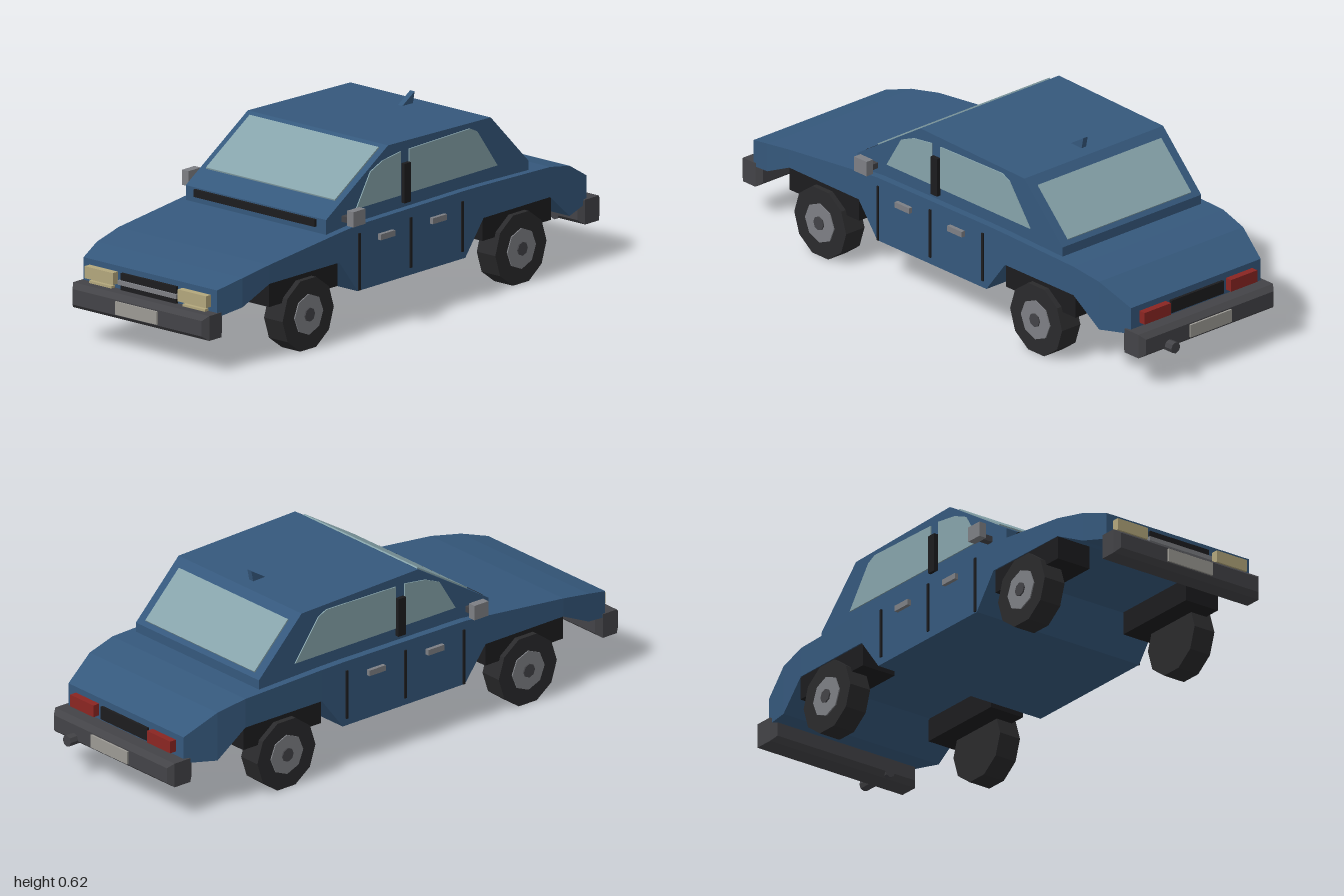
import * as THREE from 'three';

const mat = (color) => new THREE.MeshStandardMaterial({ color, flatShading: true });

export function createModel() {
  const car = new THREE.Group();
  car.name = 'car';
  const paint = mat(0x35587c), glass = mat(0x86a3aa), black = mat(0x1c1c1e), rubber = mat(0x2a2a2c);
  const bumperGrey = mat(0x434347), metal = mat(0x7d7f84), plateGrey = mat(0x9c9a94);
  const cream = mat(0xb3a77c), red = mat(0x8a2522);

  const add = (name, geometry, material) => {
    const mesh = new THREE.Mesh(geometry, material);
    mesh.name = name;
    car.add(mesh);
    return mesh;
  };
  // Box given by its limits
  const box = (name, m, x0, x1, y0, y1, z0, z1) => {
    const g = new THREE.BoxGeometry(x1 - x0, y1 - y0, z1 - z0);
    return add(name, g.translate((x0 + x1) / 2, (y0 + y1) / 2, (z0 + z1) / 2), m);
  };
  // The same box on both sides
  const pair = (name, m, x0, x1, ...rest) => {
    box(name + 'Left', m, x0, x1, ...rest);
    box(name + 'Right', m, -x1, -x0, ...rest);
  };
  // Side profile of [z, y] points, extruded across x
  const slab = (name, m, points, x0, x1) => {
    const shape = new THREE.Shape(points.map(([z, y]) => new THREE.Vector2(z, y)));
    const g = new THREE.ExtrudeGeometry(shape, { depth: x1 - x0, bevelEnabled: false });
    return add(name, g.rotateY(-Math.PI / 2).translate(x1, 0, 0), m);
  };

  // Lower body: rectangular sections [z, half width, bottom, top]
  const sections = [
    [0.925, 0.295, 0.18, 0.273], [0.83, 0.322, 0.2, 0.3], [0.71, 0.334, 0.257, 0.322],
    [0.37, 0.337, 0.257, 0.358], [0.28, 0.337, 0.14, 0.366], [-0.25, 0.337, 0.14, 0.37],
    [-0.34, 0.337, 0.257, 0.369], [-0.67, 0.335, 0.257, 0.36], [-0.78, 0.322, 0.166, 0.338],
    [-0.9, 0.29, 0.18, 0.273],
  ];
  const verts = [], faces = [];
  sections.forEach(([z, w, b, t], i) => {
    verts.push(-w, b, z, w, b, z, w, t, z, -w, t, z);
    if (i === 0) return;
    for (let k = 0; k < 4; k++) {
      const p = (i - 1) * 4 + k, q = (i - 1) * 4 + (k + 1) % 4;
      faces.push(p, p + 4, q, q, p + 4, q + 4);
    }
  });
  const e = (sections.length - 1) * 4;
  faces.push(0, 1, 2, 0, 2, 3, e, e + 2, e + 1, e, e + 3, e + 2);
  let body = new THREE.BufferGeometry();
  body.setAttribute('position', new THREE.Float32BufferAttribute(verts, 3));
  body.setIndex(faces);
  body = body.toNonIndexed();
  body.computeVertexNormals();
  add('body', body, paint);

  // Cabin, roof fin and vent below the windscreen
  slab('cabin', paint, [[0.405, 0.35], [0.405, 0.405], [0.1, 0.595], [-0.405, 0.582], [-0.59, 0.395], [-0.59, 0.34]], -0.31, 0.31);
  slab('roofFin', paint, [[-0.29, 0.575], [-0.365, 0.622], [-0.355, 0.575]], -0.01, 0.01);
  box('windscreenVent', black, -0.268, 0.268, 0.375, 0.4, 0.39, 0.415);

  // Glass
  slab('windscreen', glass, [[0.33, 0.44], [0.334, 0.455], [0.119, 0.589], [0.112, 0.58]], -0.285, 0.285);
  slab('rearWindow', glass, [[-0.43, 0.55], [-0.434, 0.559], [-0.58, 0.412], [-0.575, 0.404]], -0.275, 0.275);
  const frontPane = [[0.26, 0.412], [0.19, 0.525], [0.13, 0.55], [0.04, 0.562], [0.04, 0.412]];
  const rearPane = [[0, 0.412], [0, 0.562], [-0.3, 0.567], [-0.335, 0.55], [-0.435, 0.412]];
  for (const [side, x] of [['Left', 0.31], ['Right', -0.31]]) {
    slab('frontSideWindow' + side, glass, frontPane, x - 0.004, x + 0.004);
    slab('rearSideWindow' + side, glass, rearPane, x - 0.004, x + 0.004);
  }
  pair('doorPillar', black, 0.305, 0.325, 0.385, 0.52, 0.003, 0.035);

  // Doors: seams and handles
  pair('frontDoorSeam', black, 0.33, 0.342, 0.142, 0.337, 0.27, 0.279);
  pair('middleDoorSeam', black, 0.33, 0.342, 0.165, 0.337, 0.016, 0.025);
  pair('rearDoorSeam', black, 0.33, 0.342, 0.165, 0.337, -0.238, -0.229);
  pair('frontDoorHandle', metal, 0.33, 0.351, 0.295, 0.315, 0.11, 0.18);
  pair('rearDoorHandle', metal, 0.33, 0.351, 0.295, 0.315, -0.145, -0.075);

  // Mirrors
  pair('mirrorStem', bumperGrey, 0.3, 0.352, 0.383, 0.403, 0.305, 0.33);
  pair('mirror', metal, 0.35, 0.378, 0.38, 0.432, 0.287, 0.347);

  // Wheels with hubs, and the dark arches above them
  for (const [end, z, a0, a1] of [['front', 0.54, 0.373, 0.71], ['rear', -0.507, -0.677, -0.34]]) {
    pair(end + 'WheelArch', black, 0.2, 0.332, 0.177, 0.262, a0, a1);
    for (const s of [1, -1]) {
      const wheel = new THREE.Group();
      wheel.name = end + 'Wheel' + (s > 0 ? 'Left' : 'Right');
      for (const [name, r, x0, x1, n, m] of [
        ['tyre', 0.126, 0.27, 0.352, 10, rubber],
        ['hub', 0.07, 0.34, 0.356, 8, metal],
        ['hubCap', 0.024, 0.35, 0.361, 8, bumperGrey],
      ]) {
        const g = new THREE.CylinderGeometry(r, r, x1 - x0, n);
        const mesh = new THREE.Mesh(g.rotateZ(Math.PI / 2), m);
        // Turned so that the tyre rests on a flat
        if (n === 10) mesh.rotation.x = 0;
        mesh.position.x = s * (x0 + x1) / 2;
        mesh.name = name;
        wheel.add(mesh);
      }
      wheel.position.set(0, 0.12, z);
      car.add(wheel);
    }
  }

  // Bumpers: bevelled bars with number plates
  const bar = new THREE.Shape([[-0.285, 0.127], [0.285, 0.127], [0.285, 0.18], [-0.285, 0.18]].map((p) => new THREE.Vector2(...p)));
  const bumper = (name, z0, z1) => {
    const g = new THREE.ExtrudeGeometry(bar, {
      depth: z1 - z0 - 0.04, bevelThickness: 0.02, bevelSize: 0.016, bevelSegments: 1,
    });
    add(name, g.translate(0, 0, z0 + 0.02), bumperGrey);
  };
  bumper('frontBumper', 0.89, 0.99);
  bumper('rearBumper', -0.968, -0.86);
  box('frontPlate', plateGrey, -0.092, 0.092, 0.131, 0.176, 0.97, 0.996);
  box('rearPlate', plateGrey, -0.092, 0.092, 0.131, 0.176, -0.975, -0.95);

  // Front lights and grille
  pair('headlight', cream, 0.143, 0.268, 0.212, 0.253, 0.91, 0.95);
  pair('foglight', cream, 0.157, 0.256, 0.185, 0.204, 0.91, 0.942);
  box('grille', black, -0.122, 0.122, 0.19, 0.254, 0.91, 0.935);
  box('grilleBar', metal, -0.129, 0.129, 0.215, 0.23, 0.91, 0.943);

  // Rear lights, rear panel and exhaust
  pair('tailLight', red, 0.135, 0.252, 0.21, 0.252, -0.925, -0.89);
  box('rearPanel', black, -0.117, 0.117, 0.205, 0.25, -0.91, -0.89);
  const pipe = new THREE.CylinderGeometry(0.02, 0.02, 0.14, 8).rotateX(Math.PI / 2);
  add('exhaust', pipe.translate(0.182, 0.13, -0.93), bumperGrey);

  return car;
}
